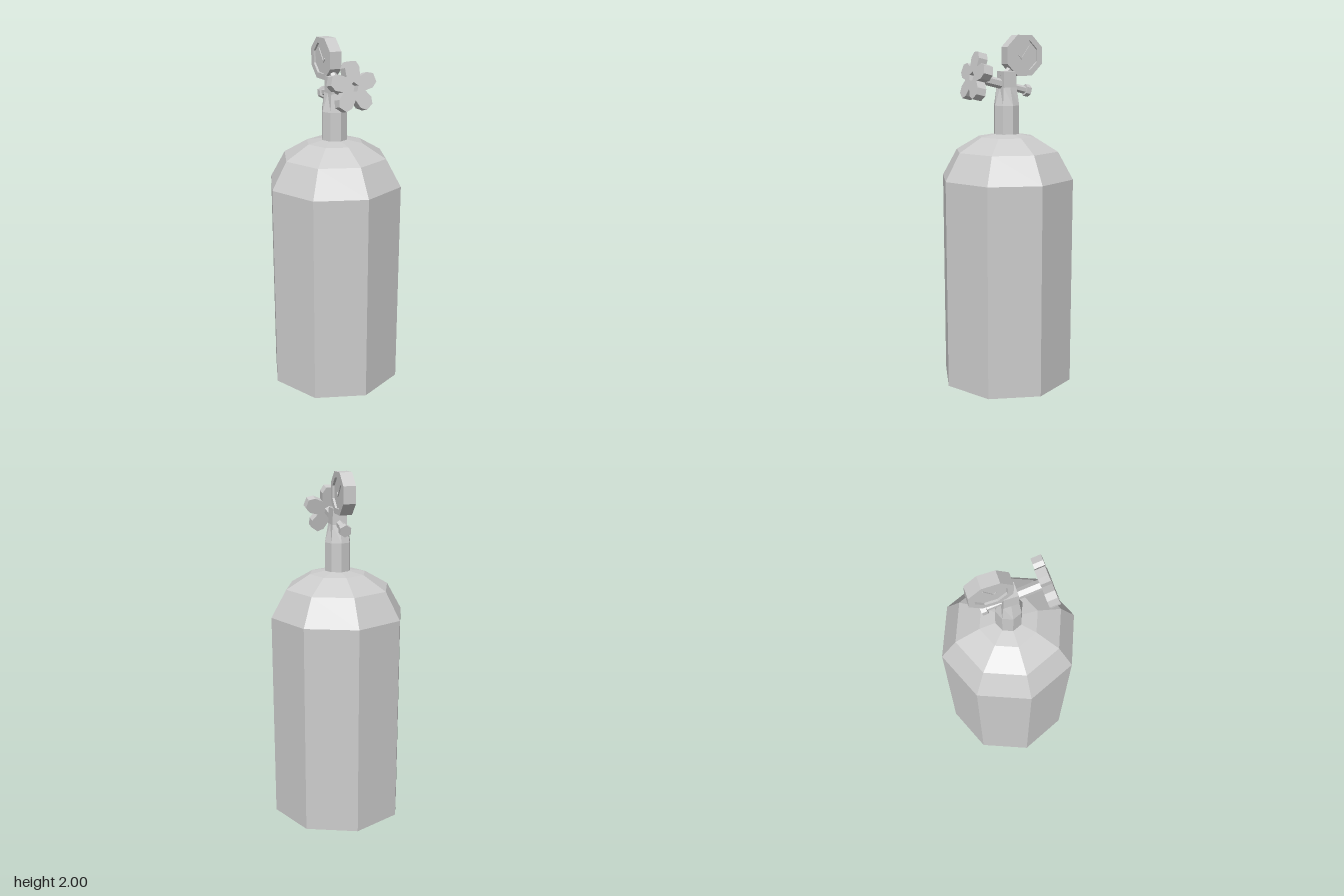
import * as THREE from 'three';

const material = new THREE.MeshStandardMaterial({ color: 0xcccccc, flatShading: true });

function part(name, geometry, parent) {
  const mesh = new THREE.Mesh(geometry, material);
  mesh.name = name;
  parent.add(mesh);
  return mesh;
}

const lathe8 = (profile) =>
  new THREE.LatheGeometry(profile.map(([r, y]) => new THREE.Vector2(r, y)), 8);

// Regular polygon points with flats on the axes
function polygon(sides, radius, turn = Math.PI / sides) {
  return Array.from({ length: sides }, (_, i) => {
    const a = turn + (i * 2 * Math.PI) / sides;
    return new THREE.Vector2(radius * Math.cos(a), radius * Math.sin(a));
  });
}

// Extrusion centred on its own thickness
function slab(points, depth, hole) {
  const shape = new THREE.Shape(points);
  if (hole) shape.holes.push(new THREE.Path(hole));
  return new THREE.ExtrudeGeometry(shape, { depth, bevelEnabled: false }).translate(0, 0, -depth / 2);
}

export function createModel() {
  const model = new THREE.Group();
  model.name = 'gasCylinder';
  model.rotation.y = 0.853; // the valve points diagonally forward

  // Tank with domed shoulder
  part('tank', lathe8([[0, 0], [0.388, 0], [0.388, 1.2], [0.3, 1.355], [0.163, 1.435], [0, 1.462]]), model);

  // Neck: octagonal at the base, squared off towards the top
  const neck = lathe8([[0.074, 1.44], [0.074, 1.61], [0.042, 1.71], [0.039, 1.8], [0, 1.8]]);
  const p = neck.attributes.position;
  for (let i = 0; i < p.count; i++) {
    const x = p.getX(i), z = p.getZ(i);
    if (p.getY(i) > 1.65 && Math.abs(x) > 0.01 && Math.abs(z) > 0.01) {
      p.setX(i, x * Math.SQRT2);
      p.setZ(i, z * Math.SQRT2);
    }
  }
  part('neck', neck, model);

  // Valve: tilted axis carrying the hand wheel in front and the outlet behind
  const valve = new THREE.Group();
  valve.name = 'valve';
  valve.position.y = 1.722;
  valve.rotation.x = -0.23;
  model.add(valve);

  const rod = (name, r, z0, z1, sides) =>
    part(name, new THREE.CylinderGeometry(r, r, z1 - z0, sides)
      .rotateX(Math.PI / 2).translate(0, 0, (z0 + z1) / 2), valve);
  rod('valveStem', 0.028, 0.0, 0.185, 6);
  rod('outletPipe', 0.022, -0.125, 0, 6);
  rod('outletFlange', 0.035, -0.15, -0.12, 6);

  // Five-petal hand wheel with a hole in its hub
  const petals = [];
  for (let i = 0; i < 5; i++) {
    for (const [r, deg] of [[0.068, -36], [0.112, -23], [0.138, -10], [0.138, 10], [0.112, 23]]) {
      const a = THREE.MathUtils.degToRad(90 + i * 72 + deg);
      petals.push(new THREE.Vector2(r * Math.cos(a), r * Math.sin(a)));
    }
  }
  part('handWheel', slab(petals, 0.055, polygon(5, 0.027, Math.PI / 2)), valve).position.z = 0.2;

  // Gauge: octagonal rim, recessed dial and needle readable from both sides
  const gauge = new THREE.Group();
  gauge.name = 'gauge';
  gauge.position.set(0, 1.887, -0.099);
  gauge.rotation.y = Math.PI / 2;
  model.add(gauge);
  part('gaugeRim', slab(polygon(8, 0.122), 0.07, polygon(8, 0.088)), gauge);
  part('gaugeDial', slab(polygon(8, 0.09), 0.045), gauge);
  const needle = part('gaugeNeedle', new THREE.BoxGeometry(0.008, 0.085, 0.055), gauge);
  needle.position.set(0.012, 0.018, 0);
  needle.rotation.z = -0.65;
  const tail = part('needleTail', new THREE.BoxGeometry(0.008, 0.026, 0.055), gauge);
  tail.position.set(-0.022, -0.009, 0);
  tail.rotation.z = 0.7;

  // Short slanted fitting between neck and gauge
  const fitting = part('gaugeFitting', new THREE.CylinderGeometry(0.021, 0.021, 0.09, 6), model);
  fitting.position.set(0, 1.793, -0.005);
  fitting.rotation.x = -Math.PI / 4;

  return model;
}
